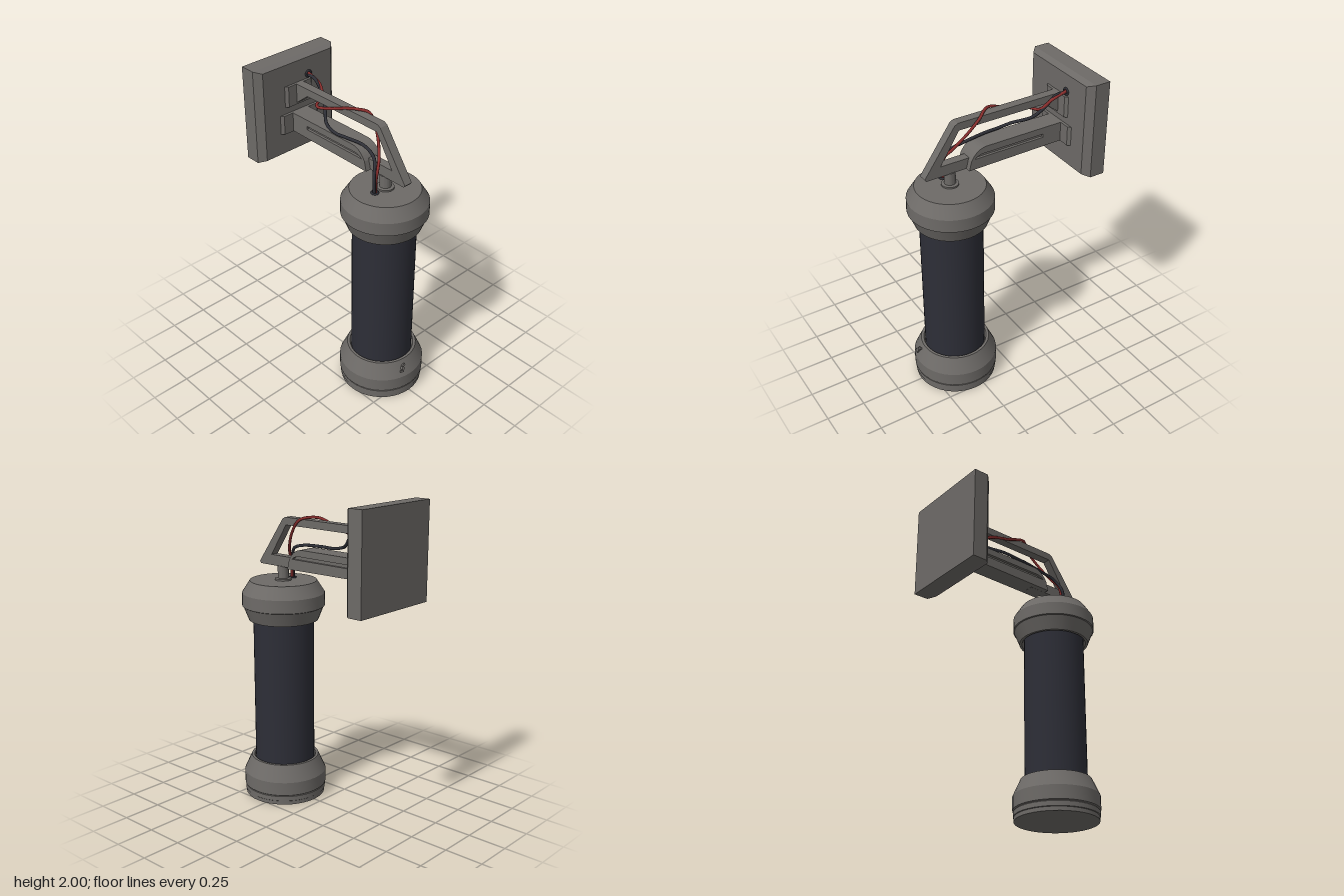
import * as THREE from 'three';
import { toCreasedNormals } from 'three/addons/utils/BufferGeometryUtils.js';

const material = (name, color) => {
  const m = new THREE.MeshStandardMaterial({ color });
  m.name = name;
  return m;
};

export function createModel() {
  const model = new THREE.Group();
  model.name = 'wallLamp';
  const metal = material('grey metal', 0x6d6a67);
  const glass = material('dark tube', 0x2d2e37);
  const redWire = material('red wire', 0x8a2e2d);
  const blackWire = material('black wire', 0x2e2f36);
  const lampZ = 0.312;

  const add = (name, geometry, mat, x = 0, y = 0, z = 0) => {
    const mesh = new THREE.Mesh(geometry, mat);
    mesh.name = name;
    mesh.position.set(x, y, z);
    model.add(mesh);
    return mesh;
  };
  const v2 = ([a, b]) => new THREE.Vector2(a, b);
  const turned = (profile) =>
    toCreasedNormals(new THREE.LatheGeometry(profile.map(v2), 40), 0.35);
  // Side profile given as (z, y), extruded across x
  const sideExtrude = (shape, width) =>
    new THREE.ExtrudeGeometry(shape, { depth: width, bevelEnabled: false, curveSegments: 8 })
      .translate(0, 0, -width / 2).rotateY(-Math.PI / 2);

  // Lamp body: tube between two turned caps
  add('lampTube', new THREE.CylinderGeometry(0.195, 0.195, 1.0, 40), glass, 0, 0.725, lampZ);
  add('bottomCap', turned([
    [0, 0], [0.262, 0], [0.262, 0.025], [0.266, 0.028], [0.266, 0.058], [0.262, 0.062],
    [0.27, 0.068], [0.27, 0.155], [0.222, 0.26], [0.205, 0.26], [0.195, 0.235],
  ]), metal, 0, 0, lampZ);
  add('topCap', turned([
    [0.195, 1.215], [0.208, 1.19], [0.224, 1.19], [0.258, 1.278], [0.265, 1.282],
    [0.264, 1.365], [0.214, 1.443], [0, 1.443],
  ]), metal, 0, 0, lampZ);

  // Small fastener on the front of the bottom cap
  const fastener = new THREE.Group();
  fastener.name = 'fastener';
  const pin = new THREE.Mesh(new THREE.CylinderGeometry(0.011, 0.011, 0.03, 12), metal);
  pin.rotation.x = Math.PI / 2;
  fastener.add(pin);
  for (const side of [-1, 1]) {
    const tab = new THREE.Mesh(new THREE.BoxGeometry(0.026, 0.012, 0.012), metal);
    tab.position.set(side * 0.011, side * 0.016, 0.006);
    tab.rotation.z = side * 0.3;
    fastener.add(tab);
  }
  fastener.position.set(-0.052, 0.208, lampZ + 0.24);
  fastener.rotation.x = -0.4;
  model.add(fastener);

  // Stem from cap to arm
  add('stem', turned([
    [0.053, 1.44], [0.053, 1.453], [0.035, 1.456], [0.035, 1.535], [0, 1.535],
  ]), metal, 0, 0, lampZ);

  // Wall plate with a chamfered front
  const plate = new THREE.BoxGeometry(0.62, 0.615, 0.138, 1, 1, 2);
  const p = plate.attributes.position;
  for (let i = 0; i < p.count; i++) {
    const z = p.getZ(i);
    if (z > 0.06) {
      p.setX(i, Math.sign(p.getX(i)) * 0.268);
      p.setY(i, Math.sign(p.getY(i)) * 0.293);
    } else if (z > -0.01) p.setZ(i, 0.029);
  }
  add('wallPlate', toCreasedNormals(plate, 0.3), metal, 0, 1.6925, -0.514);

  // Mounting pads, tapering away from the wall plate
  const pad = (name, w, h, y) => {
    const g = new THREE.BoxGeometry(w, h, 0.02);
    const q = g.attributes.position;
    for (let i = 0; i < q.count; i++)
      if (q.getZ(i) > 0) q.setX(i, q.getX(i) - Math.sign(q.getX(i)) * 0.02);
    add(name, toCreasedNormals(g, 0.2), metal, 0, y, -0.438);
  };
  pad('upperPad', 0.22, 0.135, 1.78);
  pad('lowerPad', 0.305, 0.126, 1.602);

  // Upper arm: top bar, sloping front strut, foot and rear gusset
  add('upperArm', sideExtrude(new THREE.Shape([
    [-0.445, 1.848], [0.265, 1.848], [0.287, 1.835], [0.492, 1.545], [0.482, 1.532],
    [0.1, 1.532], [0.1, 1.6], [0.386, 1.6], [0.258, 1.8], [-0.33, 1.8], [-0.445, 1.71],
  ].map(v2)), 0.056), metal);

  // Lower arm: solid core with a slotted cheek on each side
  const armShape = (slotted) => {
    const s = new THREE.Shape();
    s.moveTo(0.215, 1.532);
    s.lineTo(0.2, 1.592);
    s.quadraticCurveTo(0.165, 1.66, 0.1, 1.665);
    s.lineTo(-0.445, 1.665);
    s.lineTo(-0.445, 1.54);
    s.closePath();
    if (slotted) {
      const slot = new THREE.Path();
      slot.moveTo(0.175, 1.6);
      slot.lineTo(-0.3, 1.6);
      slot.lineTo(-0.3, 1.622);
      slot.lineTo(0.12, 1.622);
      slot.quadraticCurveTo(0.155, 1.62, 0.175, 1.6);
      s.holes.push(slot);
    }
    return s;
  };
  add('lowerArmCore', sideExtrude(armShape(false), 0.092), metal);
  for (const side of [-1, 1])
    add('lowerArmCheek', sideExtrude(armShape(true), 0.017), metal, side * 0.0545);

  // Wires winding from the cap, round the arm, to the wall plate
  const wire = (name, points, radius, mat) => {
    const curve = new THREE.CatmullRomCurve3(points.map((a) => new THREE.Vector3(...a)));
    add(name, new THREE.TubeGeometry(curve, 90, radius, 8), mat);
  };
  wire('redWire', [
    [-0.082, 1.43, 0.314], [-0.08, 1.53, 0.314], [-0.06, 1.6, 0.308], [-0.028, 1.645, 0.283],
    [0.028, 1.76, 0.205], [0.042, 1.845, 0.13], [0, 1.862, 0.075], [-0.032, 1.858, 0.02],
    [-0.043, 1.81, -0.108], [-0.047, 1.78, -0.215], [-0.02, 1.776, -0.255],
    [0.05, 1.79, -0.283], [0.08, 1.845, -0.338], [0.083, 1.882, -0.45],
  ], 0.009, redWire);
  wire('blackWire', [
    [-0.094, 1.43, 0.314], [-0.095, 1.55, 0.312], [-0.055, 1.64, 0.27], [-0.036, 1.675, 0.17],
    [-0.052, 1.68, 0.04], [-0.06, 1.678, -0.05], [-0.045, 1.695, -0.14],
    [0.03, 1.74, -0.24], [0.065, 1.8, -0.3], [0.075, 1.868, -0.38], [0.08, 1.868, -0.45],
  ], 0.01, blackWire);

  // Grommets where the wires enter
  const ring = () => new THREE.TorusGeometry(0.019, 0.007, 8, 16);
  add('capGrommet', ring().rotateX(Math.PI / 2), blackWire, -0.088, 1.445, 0.314);
  add('plateGrommet', ring(), blackWire, 0.082, 1.876, -0.443);

  return model;
}
